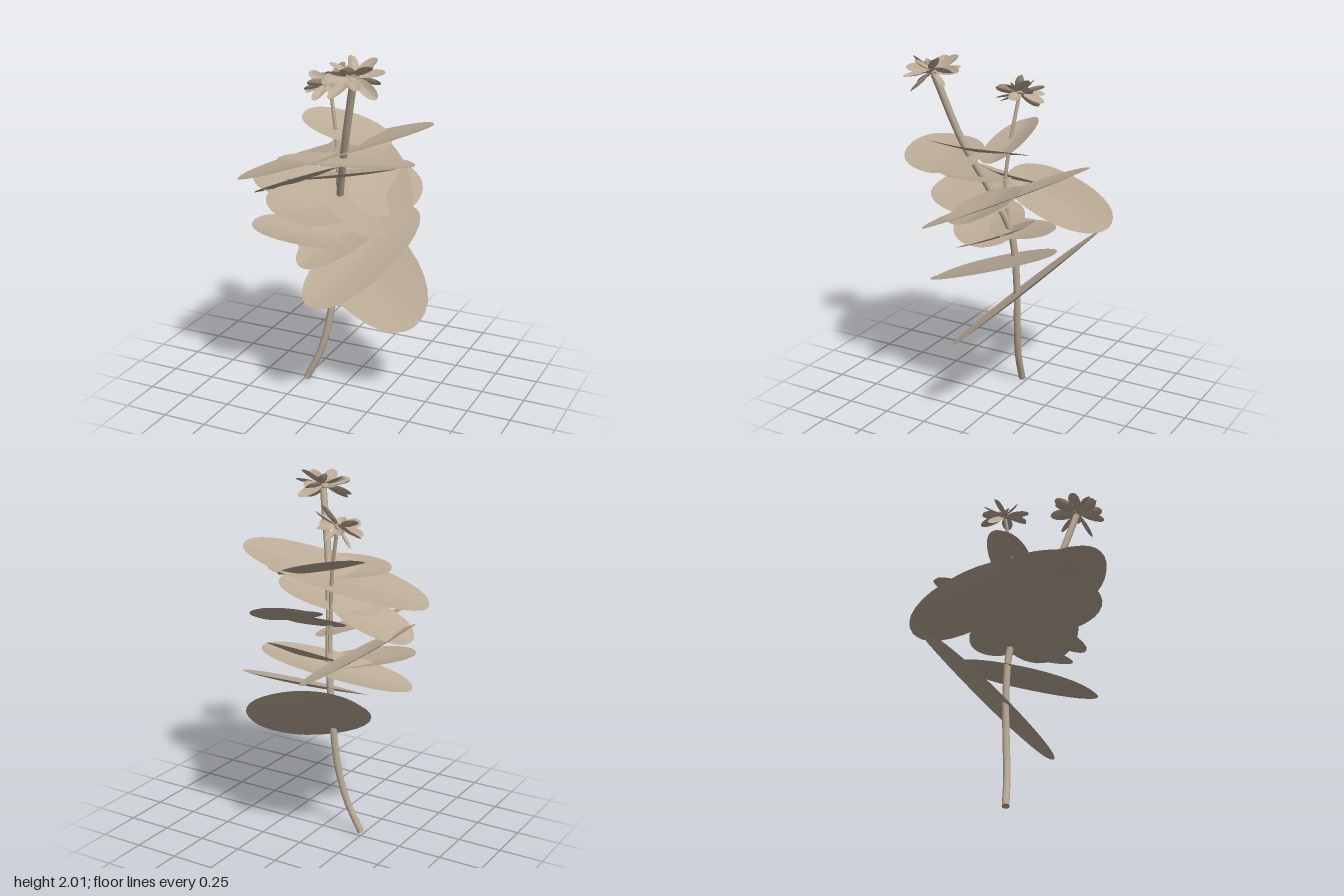
import * as THREE from 'three';

const material = new THREE.MeshStandardMaterial({ color: 0xbbab96, side: THREE.DoubleSide });
const vec = (x, y, z) => new THREE.Vector3(x, y, z);

// Unit blade: a slightly squared disc with a raised rim and a soft fold along its length (x)
function bladeGeometry(cup, fold, rings, sides) {
  const g = new THREE.RingGeometry(0, 1, sides, rings);
  g.rotateX(-Math.PI / 2);
  const p = g.attributes.position;
  for (let i = 0; i < p.count; i++) {
    const x = p.getX(i), z = p.getZ(i), r = Math.hypot(x, z);
    const blunt = r > 0 ? r / (Math.abs(x) ** 2.2 + Math.abs(z) ** 2.2) ** (1 / 2.2) : 1;
    p.setXYZ(i, x * blunt, cup * (r * r - 0.5) + fold * (Math.abs(z) - 0.4), z * blunt);
  }
  return g;
}

// Blade stretched along half-length u and half-width v around a centre
function blade(name, centre, u, v, cup, fold, rings = 5, sides = 32) {
  const n = v.clone().cross(u).normalize();
  const g = bladeGeometry(cup, fold, rings, sides);
  g.applyMatrix4(new THREE.Matrix4().makeBasis(u, n, v).setPosition(centre));
  g.computeVertexNormals();
  const mesh = new THREE.Mesh(g, material);
  mesh.name = name;
  return mesh;
}

// Leaf lying on a plane with slopes a (along x) and b (along z)
function leaf([cx, cy, cz, ux, uz, w, a, b]) {
  const l = Math.hypot(ux, uz), vx = -uz / l * w, vz = ux / l * w;
  return blade('leaf', vec(cx, cy, cz),
    vec(ux, a * ux + b * uz, uz), vec(vx, a * vx + b * vz, vz), 0.014, 0.012);
}

function stem(name, points, radius) {
  const curve = new THREE.CatmullRomCurve3(points.map(p => vec(...p)));
  const group = new THREE.Group();
  group.name = name;
  group.add(new THREE.Mesh(new THREE.TubeGeometry(curve, 40, radius, 10), material));
  for (const t of [0, 1]) {
    const cap = new THREE.Mesh(new THREE.CircleGeometry(radius, 10), material);
    cap.position.copy(curve.getPoint(t));
    cap.lookAt(cap.position.clone().addScaledVector(curve.getTangent(t), t ? 1 : -1));
    group.add(cap);
  }
  return group;
}

// Flower: two whorls of uneven petals around a seeded centre
function flower(centre, axis, size, phase) {
  const group = new THREE.Group();
  group.name = 'flower';
  for (const [count, lift, reach] of [[9, -0.12, 1], [8, 0.28, 0.92]]) {
    for (let i = 0; i < count; i++) {
      const turn = (i + 0.3 * Math.sin(i * 5 + phase)) / count * Math.PI * 2 + lift + phase;
      const pitch = lift + 0.36 * Math.sin(i * 2.7 + phase * 3);
      const roll = 0.7 * Math.sin(i * 4.1 + phase);
      const l = size * reach * (0.42 + 0.05 * Math.sin(i * 3.3));
      const petal = blade('petal', vec(size * 0.12 + l, 0, 0),
        vec(l, 0, 0), vec(0, 0, size * 0.2), size * 0.05, size * 0.03, 3, 16);
      petal.rotation.set(roll, turn, pitch, 'YZX');
      group.add(petal);
    }
  }
  const disc = new THREE.Mesh(new THREE.SphereGeometry(size * 0.2, 16, 8), material);
  disc.name = 'flowerCentre';
  disc.scale.y = 0.5;
  group.add(disc);
  // Seeds on a spiral
  const seedShape = new THREE.SphereGeometry(size * 0.026, 5, 4);
  for (let i = 0; i < 45; i++) {
    const r = Math.sqrt(i / 45) * 0.19, t = i * 2.39996;
    const seed = new THREE.Mesh(seedShape, material);
    seed.name = 'seed';
    seed.position.set(r * Math.cos(t), 0.5 * Math.sqrt(0.04 - r * r) + 0.01, r * Math.sin(t));
    seed.position.multiplyScalar(size);
    group.add(seed);
  }
  group.position.set(...centre);
  group.quaternion.setFromUnitVectors(vec(0, 1, 0), vec(...axis).normalize());
  return group;
}

export function createModel() {
  const model = new THREE.Group();
  model.name = 'floweringPlant';

  model.add(stem('mainStem', [[-0.235, 0.01, 0.03], [-0.15, 0.2, 0.01], [-0.1, 0.42, -0.01],
    [-0.075, 0.68, -0.02], [-0.04, 1, 0], [0.02, 1.25, 0.1], [0.1, 1.52, 0.22],
    [0.2, 1.9, 0.33]], 0.02));
  model.add(stem('sideStem', [[-0.04, 1, 0], [-0.03, 1.25, 0.03], [-0.05, 1.5, 0.01],
    [-0.1, 1.77, -0.02]], 0.01));

  // Leaves: centre x, y, z, half-length x, z, half-width, slope along x, slope along z
  const leaves = [
    [0.02, 1.46, 0.17, 0.48, -0.2, 0.27, 0.325, 0],
    [0.145, 1.455, 0.305, 0.34, -0.11, 0.2, 0.02, 0.12],
    [0, 1.535, -0.02, 0.25, -0.03, 0.13, -0.28, -0.3],
    [0.06, 1.34, 0.18, 0.31, -0.03, 0.18, 0.22, 0.18],
    [0.1, 1.24, -0.05, 0.28, 0.36, 0.23, 0, -0.42],
    [0.24, 1.23, 0, 0.17, 0.06, 0.21, -0.25, -0.4],
    [-0.24, 1.25, 0.12, 0.23, -0.04, 0.16, 0.42, 0.15],
    [-0.315, 1.14, -0.15, 0.11, -0.37, 0.16, -0.5, 0.07],
    [-0.08, 1.17, 0.26, 0.07, -0.26, 0.2, -0.32, 0],
    [-0.11, 1, -0.04, 0.4, -0.13, 0.17, 0.23, 0.02],
    [-0.15, 0.985, 0.2, 0.27, -0.1, 0.2, -0.17, 0.03],
    [0.05, 0.99, 0.05, 0.17, -0.28, 0.16, 0.05, -0.5],
    [0.12, 0.84, 0.03, 0.11, -0.42, 0.21, 0.04, -0.395],
    [0.015, 0.73, -0.16, 0.46, 0.2, 0.22, -0.1, -0.85],
  ];
  for (const l of leaves) model.add(leaf(l));

  model.add(flower([0.2, 1.915, 0.335], [0.1, 1, 0.1], 0.17, 0.4));
  model.add(flower([-0.11, 1.775, -0.02], [-0.35, 1, 0.2], 0.15, 1.7));
  return model;
}
